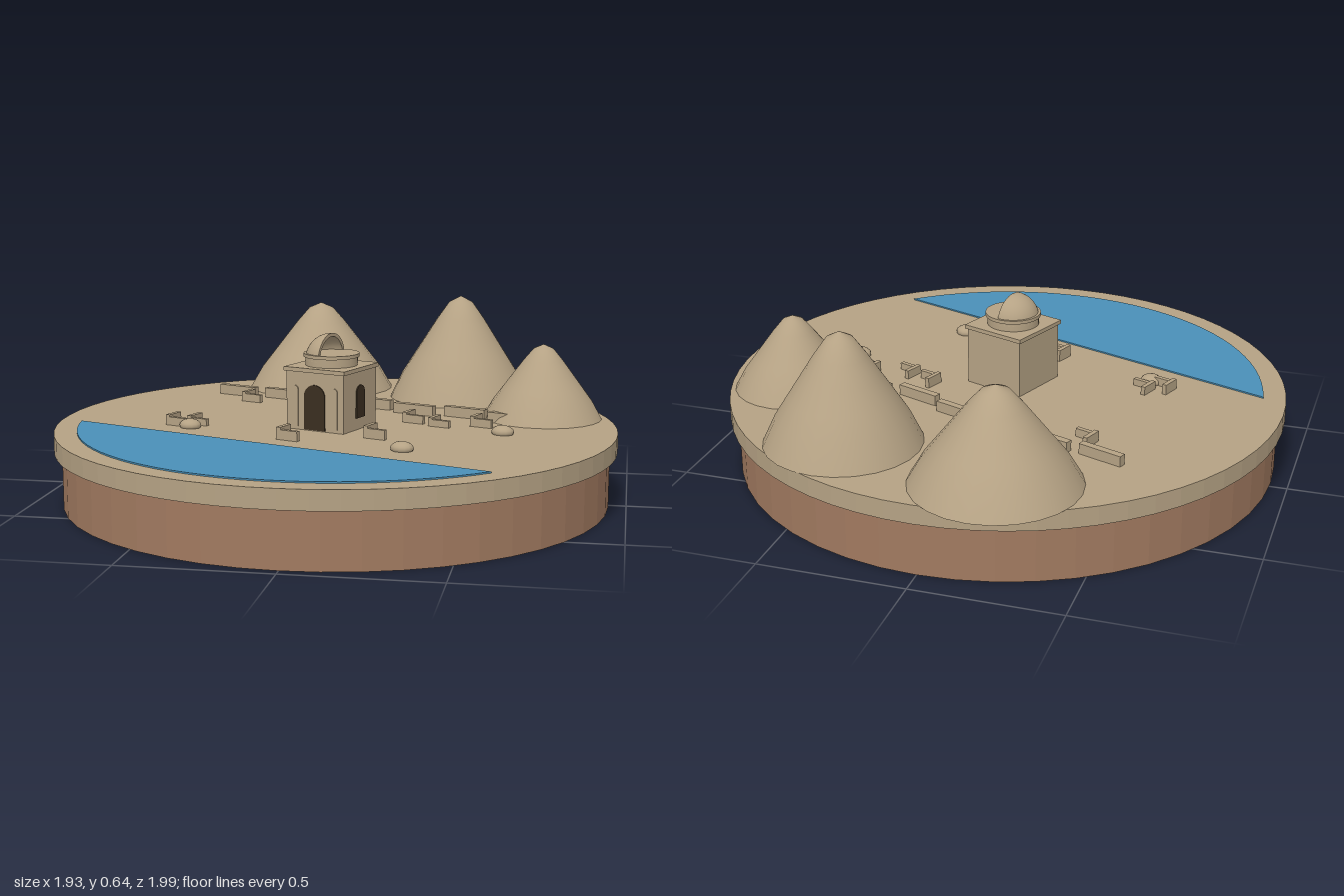
import * as THREE from 'three';

const colour = (name, hex) => {
  const m = new THREE.MeshStandardMaterial({ color: hex });
  m.name = name;
  return m;
};

export function createModel() {
  const model = new THREE.Group();
  model.name = 'desertDiorama';
  const sand = colour('sand', 0xb5a284);
  const earth = colour('earth', 0xa17a60);
  const water = colour('water', 0x4a90b8);
  const dark = colour('darkOpening', 0x3a2e20);

  const TOP = 0.255;                    // ground level
  const CZ = 0.027;                     // disc centre in z
  const TURN = -20 * Math.PI / 180;     // layout is turned on the disc

  const add = (parent, name, geo, mat, x = 0, y = 0, z = 0) => {
    const mesh = new THREE.Mesh(geo, mat);
    mesh.name = name;
    mesh.position.set(x, y, z);
    parent.add(mesh);
    return mesh;
  };
  const faceted = (geo) => {
    const g = geo.toNonIndexed();
    g.computeVertexNormals();
    return g;
  };

  // Round base and ground slab
  add(model, 'earthBase', faceted(new THREE.CylinderGeometry(0.94, 0.94, 0.19, 48)), earth, 0, 0.095, CZ);
  add(model, 'groundSlab', faceted(new THREE.CylinderGeometry(0.966, 0.966, 0.065, 64)), sand, 0, 0.2225, CZ);

  // Water: a circle segment cut by a slanted chord
  const shore = [];
  for (let i = 0; i <= 32; i++) {
    const a = (47.8 + (172 - 47.8) * i / 32) * Math.PI / 180;
    shore.push(new THREE.Vector2(0.888 * Math.cos(a), -0.888 * Math.sin(a)));
  }
  const lake = new THREE.ExtrudeGeometry(new THREE.Shape(shore), { depth: 0.005, bevelEnabled: false });
  lake.rotateX(-Math.PI / 2);
  add(model, 'water', lake, water, 0, TOP, CZ);

  // Mountains: bell-like cones, steeper at the foot
  const drop = [0, 0.06, 0.22, 0.4, 0.58, 0.76, 1];
  for (const [x, z, r, h] of [
    [-0.195, -0.723, 0.277, 0.33],
    [0.365, -0.59, 0.262, 0.383],
    [0.697, -0.225, 0.209, 0.262],
  ]) {
    const profile = drop.map((d, i) => new THREE.Vector2(r * i / 6, h * (1 - d))).reverse();
    add(model, 'mountain', new THREE.LatheGeometry(profile, 24), sand, x, TOP, z);
    const foot = new THREE.CircleGeometry(r, 24).rotateX(Math.PI / 2);
    add(model, 'mountainFoot', foot, sand, x, TOP + 0.001, z);
  }

  // Domed building
  const house = new THREE.Group();
  house.name = 'domedBuilding';
  house.position.set(-0.01, TOP, 0.055);
  house.rotation.y = TURN;
  model.add(house);
  const W = 0.224;
  add(house, 'walls', new THREE.BoxGeometry(W, 0.2, W), sand, 0, 0.1, 0);
  add(house, 'roofSlab', new THREE.BoxGeometry(0.238, 0.014, 0.238), sand, 0, 0.207, 0);
  add(house, 'drum', new THREE.CylinderGeometry(0.09, 0.09, 0.032, 32), sand, 0, 0.229, 0);
  add(house, 'drumRim', new THREE.CylinderGeometry(0.096, 0.096, 0.012, 32), sand, 0, 0.249, 0);

  // Broken dome: half of a hollow shell with its cut edge
  const RO = 0.09, RI = 0.078;
  const shell = [];
  for (let i = 0; i <= 10; i++) {
    const a = i / 10 * Math.PI / 2;
    shell.push(new THREE.Vector2(RO * Math.cos(a), RO * Math.sin(a)));
  }
  for (let i = 10; i >= 0; i--) {
    const a = i / 10 * Math.PI / 2;
    shell.push(new THREE.Vector2(RI * Math.cos(a), RI * Math.sin(a)));
  }
  add(house, 'brokenDome', new THREE.LatheGeometry(shell, 20, Math.PI, Math.PI), sand, 0, 0.232, 0);
  const cut = new THREE.Shape();
  cut.absarc(0, 0, RO, 0, Math.PI, false);
  cut.absarc(0, 0, RI, Math.PI, 0, true);
  add(house, 'domeCutEdge', new THREE.ShapeGeometry(cut, 16).rotateY(Math.PI / 2), sand, 0, 0.232, 0);

  // Arched openings as thin plates
  const arch = (w, h) => {
    const s = new THREE.Shape();
    s.moveTo(-w / 2, 0);
    s.lineTo(w / 2, 0);
    s.lineTo(w / 2, h - w / 2);
    s.absarc(0, h - w / 2, w / 2, 0, Math.PI, false);
    s.closePath();
    return new THREE.ExtrudeGeometry(s, { depth: 0.004, bevelEnabled: false, curveSegments: 10 });
  };
  add(house, 'doorway', arch(0.082, 0.155), dark, 0, 0.003, W / 2);
  for (const side of [-1, 1]) add(house, 'wallPanel', arch(0.024, 0.14), sand, side * 0.077, 0.012, W / 2);
  add(house, 'sideWindow', arch(0.057, 0.113).rotateY(Math.PI / 2), dark, W / 2, 0.04, 0);

  // Broken perimeter wall
  for (const [x, z] of [
    [-0.465, -0.468], [-0.278, -0.421], [-0.111, -0.338], [0.077, -0.296],
    [0.244, -0.206], [0.43, -0.171], [0.593, -0.085],
  ]) {
    add(model, 'wallSegment', new THREE.BoxGeometry(0.158, 0.036, 0.026), sand, x, TOP + 0.018, z).rotation.y = TURN;
  }

  // L-shaped ruins, placed by their outer corner
  for (const [x, z, h] of [
    [-0.424, -0.344, 0.036], [-0.577, 0.143, 0.036], [-0.508, 0.117, 0.03], [-0.148, 0.317, 0.042],
    [0.132, 0.243, 0.042], [0.222, -0.048, 0.036], [0.318, 0.005, 0.03], [0.461, -0.016, 0.036],
  ]) {
    const ruin = new THREE.Group();
    ruin.name = 'ruin';
    ruin.position.set(x, TOP, z);
    ruin.rotation.y = TURN;
    add(ruin, 'longWall', new THREE.BoxGeometry(0.08, h * 0.8, 0.016), sand, 0.04, h * 0.4, -0.008);
    add(ruin, 'shortWall', new THREE.BoxGeometry(0.016, h, 0.068), sand, 0.008, h / 2, -0.034);
    model.add(ruin);
  }

  // Boulders
  for (const [x, z] of [[-0.482, 0.171], [0.286, 0.414], [0.583, 0.096]]) {
    const b = add(model, 'boulder', new THREE.SphereGeometry(1, 14, 10), sand, x, TOP + 0.008, z);
    b.scale.set(0.039, 0.022, 0.034);
    b.rotation.y = TURN;
  }
  return model;
}
